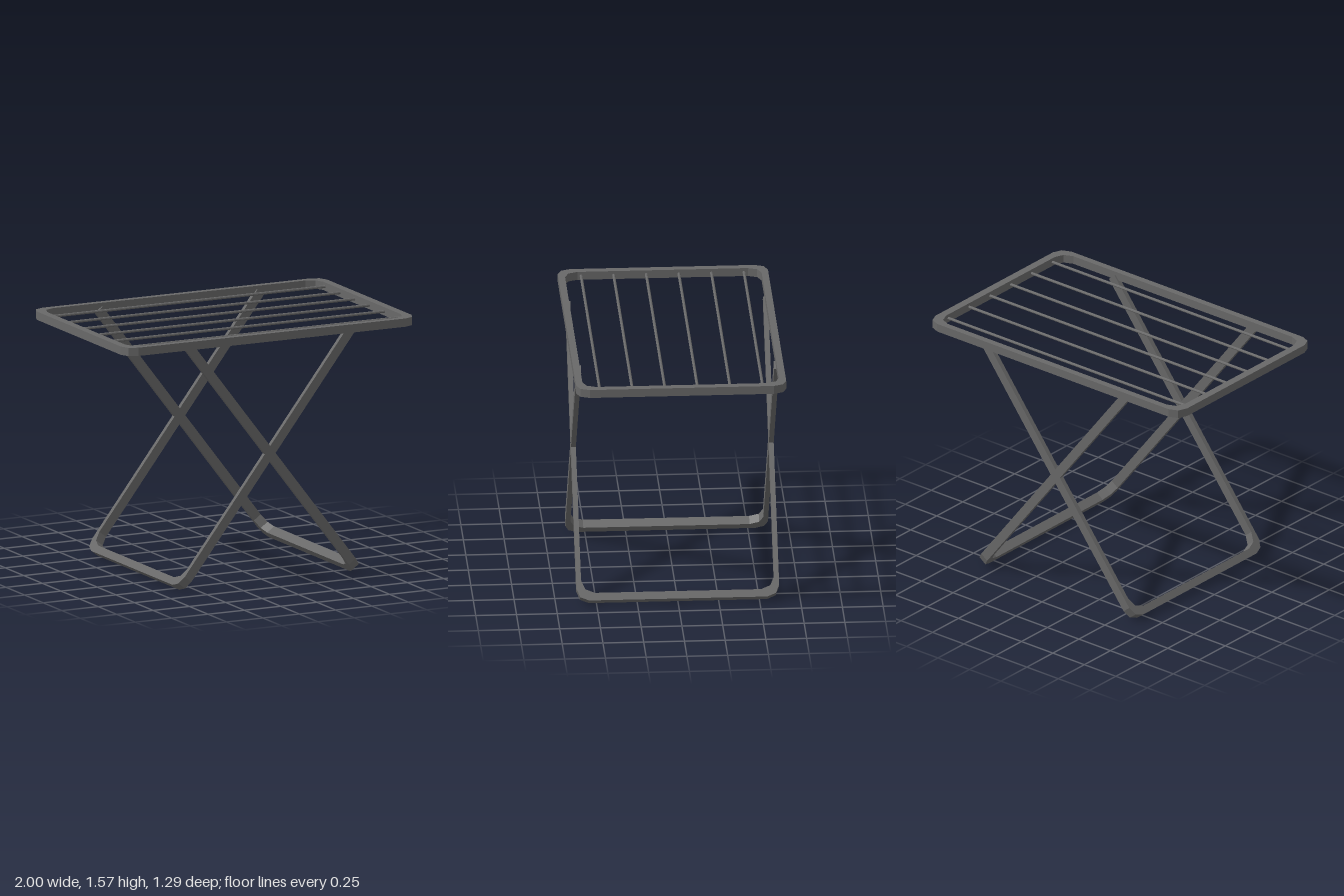
import * as THREE from 'three';

// Points of a quarter bend in two straight steps, starting at angle a0
function bend(cx, cy, r, a0, dir = 1) {
  return [0, 1, 2].map((i) => {
    const a = a0 + dir * i * Math.PI / 4;
    return new THREE.Vector2(cx + r * Math.cos(a), cy + r * Math.sin(a));
  });
}

// Rectangle with faceted rounded corners
function roundedRect(hw, hh, r) {
  const x = hw - r, y = hh - r, q = Math.PI / 2;
  return [...bend(x, y, r, 0), ...bend(-x, y, r, q), ...bend(-x, -y, r, 2 * q), ...bend(x, -y, r, 3 * q)];
}

export function createModel() {
  const group = new THREE.Group();
  const metal = new THREE.MeshStandardMaterial({ color: 0x686868, flatShading: true });
  metal.name = 'greyMetal';
  const add = (geometry, name) => {
    const mesh = new THREE.Mesh(geometry, metal);
    mesh.name = name;
    group.add(mesh);
    return mesh;
  };

  // Top frame
  const frameShape = new THREE.Shape(roundedRect(1, 0.645, 0.08));
  frameShape.holes.push(new THREE.Path(roundedRect(0.95, 0.603, 0.08)));
  const frameGeo = new THREE.ExtrudeGeometry(frameShape, { depth: 0.052, bevelEnabled: false });
  frameGeo.rotateX(-Math.PI / 2).translate(0, 1.518, 0);
  add(frameGeo, 'topFrame');

  // Drying rods
  const rodGeo = new THREE.CylinderGeometry(0.009, 0.009, 1.91, 8).rotateZ(Math.PI / 2);
  for (let i = 0; i < 6; i++) add(rodGeo, 'dryingRod').position.set(0, 1.544, -0.5 + i * 0.2);

  // Crossed U-shaped legs: outline across z and along the leg, then tilted
  const outer = 0.622, inner = 0.592, length = 1.91, foot = 0.048, q = Math.PI / 2;
  const legShape = new THREE.Shape([
    new THREE.Vector2(-outer, length),
    ...bend(-outer + 0.075, 0.075, 0.075, 2 * q),
    ...bend(outer - 0.075, 0.075, 0.075, 3 * q),
    new THREE.Vector2(outer, length),
    new THREE.Vector2(inner, length),
    ...bend(inner - 0.082, foot + 0.082, 0.082, 0, -1),
    ...bend(-inner + 0.082, foot + 0.082, 0.082, 3 * q, -1),
    new THREE.Vector2(-inner, length),
  ]);
  const legGeo = new THREE.ExtrudeGeometry(legShape, { depth: 0.058, bevelEnabled: false });
  legGeo.translate(0, 0, -0.029);
  const along = new THREE.Vector3(0.611, 0.7925, 0).normalize();
  const across = new THREE.Vector3(0, 0, 1);
  const normal = new THREE.Vector3().crossVectors(across, along);
  legGeo.applyMatrix4(new THREE.Matrix4().makeBasis(across, along, normal));
  legGeo.translate(-0.611, 0.0177, 0);
  add(legGeo, 'rightFootLeg');
  add(legGeo, 'leftFootLeg').rotation.y = Math.PI;

  return group;
}
